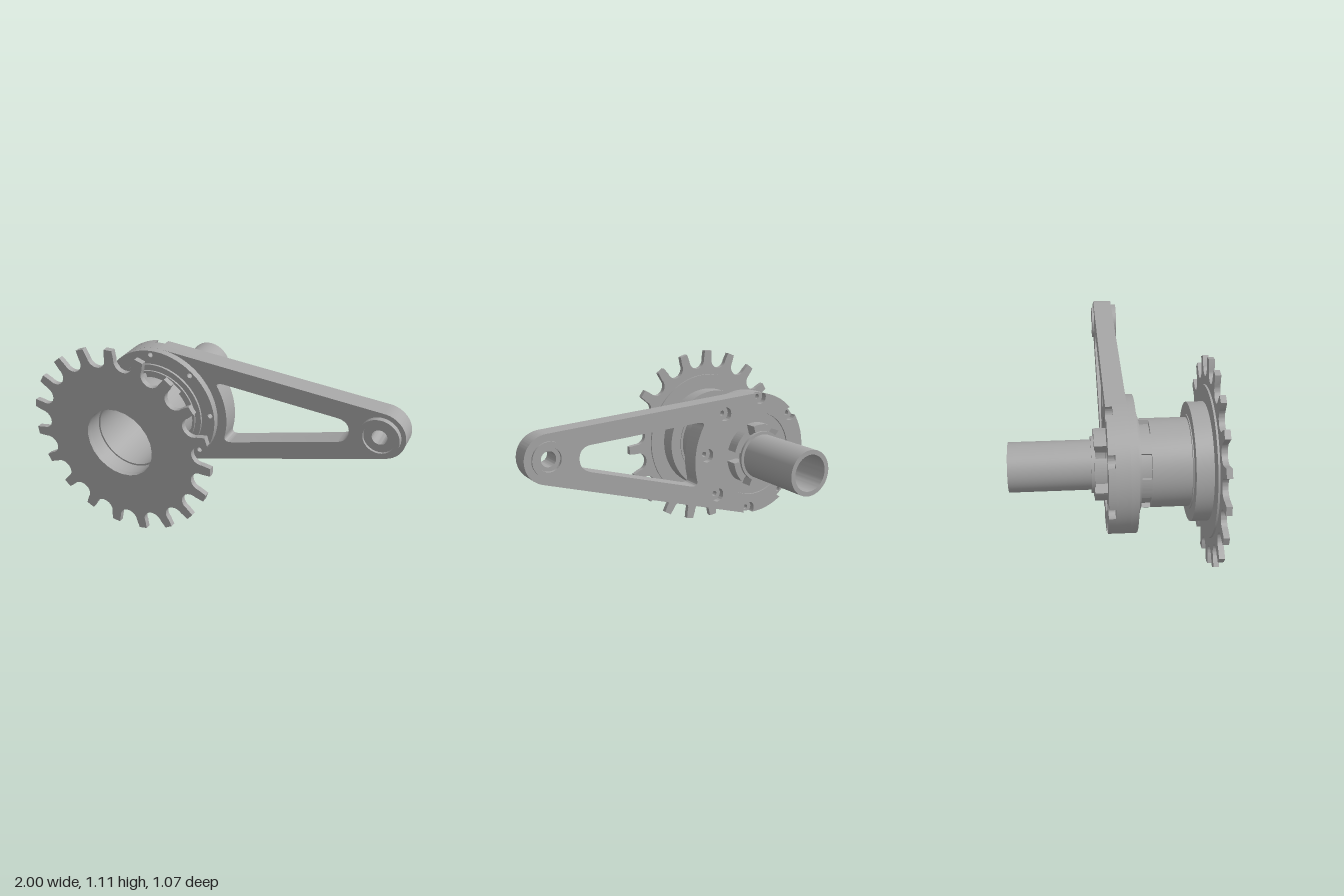
import * as THREE from 'three';
import { toCreasedNormals } from 'three/addons/utils/BufferGeometryUtils.js';

const CX = -0.45, CY = 0.556; // hub axis
const EX = 0.86, EY = 0.71;   // arm end axis
const R = 0.365, RE = 0.135;  // plate and arm end radii
const rad = THREE.MathUtils.degToRad;
const steel = new THREE.MeshStandardMaterial({ color: 0xa8a8a8 });
steel.name = 'steel grey';

function add(parent, name, geometry) {
  const mesh = new THREE.Mesh(toCreasedNormals(geometry, 0.5), steel);
  mesh.name = name;
  parent.add(mesh);
  return mesh;
}

// Solid of revolution about z from a counterclockwise [radius, z] loop
function turned(profile) {
  const pts = [...profile, profile[0]].map(([r, z]) => new THREE.Vector2(r, z));
  return new THREE.LatheGeometry(pts, 72).rotateX(Math.PI / 2);
}

// Flat part between two z levels
function slab(shape, z0, z1, segments = 32) {
  return new THREE.ExtrudeGeometry(shape, { depth: z1 - z0, bevelEnabled: false, curveSegments: segments })
    .translate(0, 0, z0);
}

function circle(x, y, r, Type = THREE.Path) {
  const p = new Type();
  p.absarc(x, y, r, 0, Math.PI * 2, false);
  return p;
}

function sector(r0, r1, a0, a1) {
  const s = new THREE.Shape();
  s.absarc(0, 0, r1, a0, a1, false);
  s.absarc(0, 0, r0, a1, a0, true);
  s.closePath();
  return s;
}

// Toothed wheel outline with round roller seats
function sprocketShape() {
  const s = new THREE.Shape(), teeth = 19, half = Math.PI / teeth;
  for (let i = 0; i < teeth; i++) {
    const t = rad(92.3) + i * 2 * half, v = t + half;
    for (const d of [-0.043, 0.043]) {
      const x = 0.557 * Math.cos(t + d), y = 0.557 * Math.sin(t + d);
      if (i === 0 && d < 0) s.moveTo(x, y); else s.lineTo(x, y);
    }
    s.absarc(0.505 * Math.cos(v), 0.505 * Math.sin(v), 0.055, v - Math.PI / 2, v + Math.PI / 2, true);
  }
  s.closePath();
  s.holes.push(circle(0, 0, 0.205));
  return s;
}

const boltAngles = Array.from({ length: 8 }, (_, i) => rad(6 + i * 45));
const BOLT = 0.34, BORE = 0.04;
const boltHole = (a, r, x = CX, y = CY) => circle(x + BOLT * Math.cos(a), y + BOLT * Math.sin(a), r);

// Tapered arm outline; with counterbores they break out through the round rim
function armShape(counterbored) {
  const s = new THREE.Shape();
  const axis = Math.atan2(EY - CY, EX - CX);
  const spread = Math.acos((R - RE) / Math.hypot(EX - CX, EY - CY));
  const top = axis + spread, bottom = axis - spread + 2 * Math.PI;
  let from = top;
  if (counterbored) {
    const d = Math.acos((R * R + BOLT * BOLT - BORE * BORE) / (2 * R * BOLT));
    const b = Math.atan2(R * Math.sin(d), R * Math.cos(d) - BOLT);
    for (const a of boltAngles) {
      if (a < top || a > bottom) { s.holes.push(boltHole(a, BORE)); continue; }
      s.absarc(CX, CY, R, from, a - d, false);
      s.absarc(CX + BOLT * Math.cos(a), CY + BOLT * Math.sin(a), BORE, a - b, a + b, true);
      from = a + d;
    }
  } else {
    boltAngles.forEach(a => s.holes.push(boltHole(a, 0.015)));
  }
  s.absarc(CX, CY, R, from, bottom, false);
  s.absarc(EX, EY, RE, axis - spread, top, false);
  s.closePath();

  // Rounded triangular window
  const w = new THREE.Path();
  w.moveTo(-0.04, 0.791);
  w.lineTo(0.62, 0.755);
  w.quadraticCurveTo(0.69, 0.75, 0.69, 0.685);
  w.quadraticCurveTo(0.69, 0.625, 0.62, 0.605);
  w.lineTo(0.01, 0.427);
  w.quadraticCurveTo(-0.055, 0.408, -0.04, 0.46);
  w.absarc(CX, CY, 0.421, Math.atan2(-0.096, 0.41), Math.atan2(0.209, 0.365), false);
  w.quadraticCurveTo(-0.1, 0.793, -0.04, 0.791);
  s.holes.push(w, circle(CX, CY, 0.25), circle(EX, EY, 0.085));
  return s;
}

export function createModel() {
  const model = new THREE.Group();
  model.name = 'sprocketAndTorqueArm';

  // Arm in two layers, the back one holding the bolt counterbores
  const arm = new THREE.Group();
  arm.name = 'arm';
  model.add(arm);
  add(arm, 'armBackLayer', slab(armShape(true), -0.03, 0.005));
  add(arm, 'armFrontLayer', slab(armShape(false), 0.005, 0.08));

  // Bushing in the arm end
  const bushing = add(arm, 'armEndBushing', turned([
    [0.042, -0.025], [0.065, -0.025], [0.065, -0.042], [0.095, -0.042], [0.095, 0.06],
    [0.11, 0.06], [0.11, 0.11], [0.087, 0.11], [0.087, 0.095], [0.042, 0.095],
  ]));
  bushing.position.set(EX, EY, 0);

  const hub = new THREE.Group();
  hub.name = 'hub';
  hub.position.set(CX, CY, 0);
  model.add(hub);

  // Round cover ring on the arm's front
  const cover = circle(0, 0, R, THREE.Shape);
  cover.holes.push(circle(0, 0, 0.25));
  boltAngles.forEach(a => cover.holes.push(boltHole(a, 0.015, 0, 0)));
  add(hub, 'coverRing', slab(cover, 0.08, 0.12));

  // Stepped hollow barrel
  add(hub, 'barrel', turned([
    [0.195, 0], [0.25, 0], [0.25, 0.12], [0.285, 0.12], [0.285, 0.133], [0.25, 0.133], [0.25, 0.143],
    [0.212, 0.143], [0.212, 0.197], [0.235, 0.197], [0.235, 0.4], [0.25, 0.4], [0.25, 0.405],
    [0.315, 0.405], [0.315, 0.495], [0.406, 0.495], [0.406, 0.506], [0.205, 0.506],
    [0.205, 0.43], [0.195, 0.43],
  ]));
  add(hub, 'sprocket', slab(sprocketShape(), 0.505, 0.535, 12));

  // Barrel floor with six holes
  const floor = circle(0, 0, 0.25, THREE.Shape);
  floor.holes.push(circle(0, 0, 0.105));
  for (let i = 0; i < 6; i++) {
    const a = rad(40 + i * 60);
    floor.holes.push(circle(0.15 * Math.cos(a), 0.15 * Math.sin(a), 0.03));
  }
  add(hub, 'barrelFloor', slab(floor, -0.02, 0));

  // Ribs between barrel notches, and slotted collar at the back
  for (let i = 0; i < 6; i++) {
    const n = 28 + i * 60, c = 4 + i * 60;
    add(hub, 'barrelRib', slab(sector(0.205, 0.235, rad(n + 16), rad(n + 44)), 0.143, 0.197));
    add(hub, 'collarLug', slab(sector(0.125, 0.19, rad(c + 10), rad(c + 50)), -0.09, -0.02));
  }

  // Hollow shaft with its flange
  add(hub, 'shaft', turned([
    [0.105, -0.535], [0.132, -0.535], [0.132, -0.105], [0.15, -0.105], [0.15, -0.085], [0.105, -0.085],
  ]));
  return model;
}
